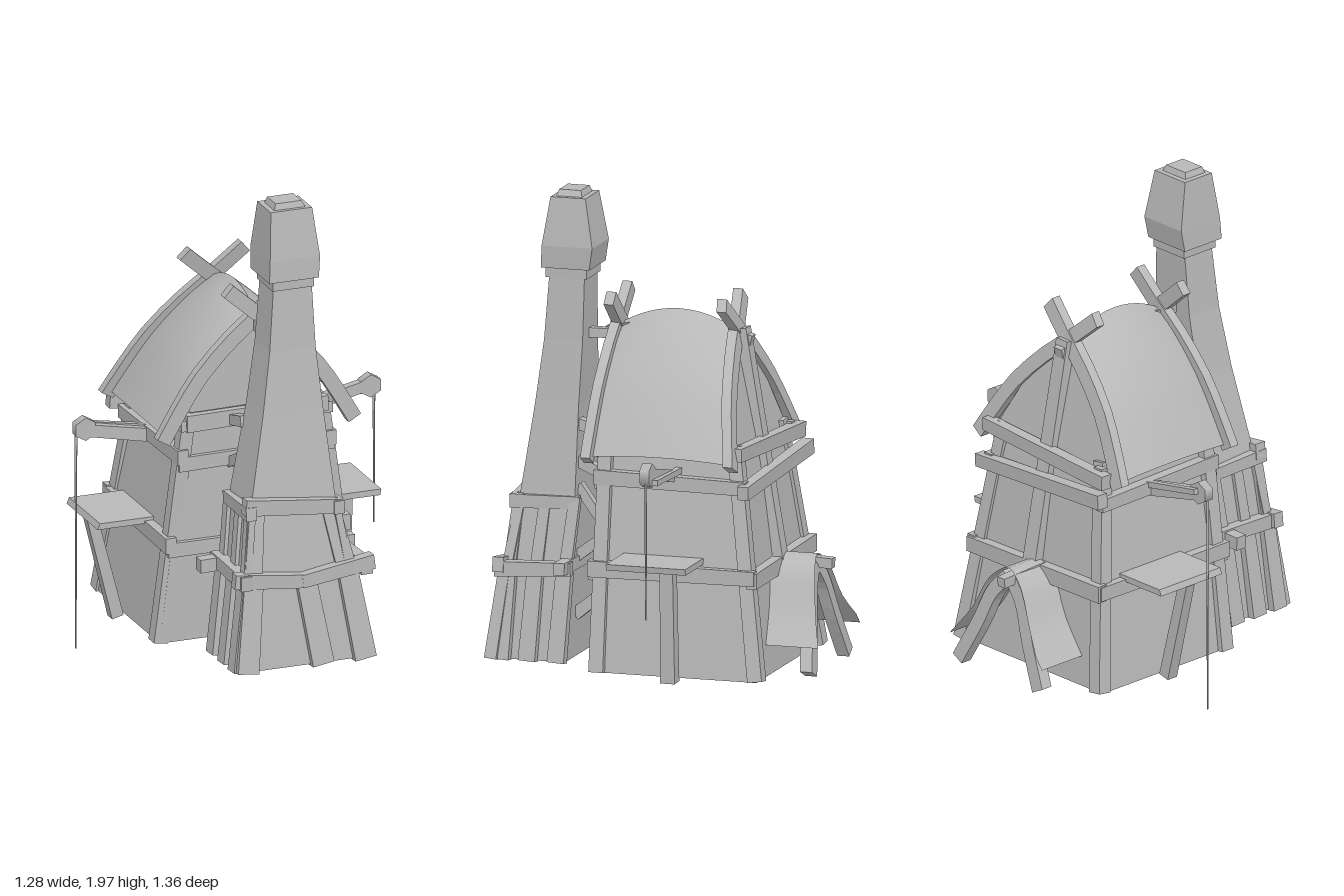
import * as THREE from 'three';

const wood = new THREE.MeshStandardMaterial({ color: 0xb8b8b8, side: THREE.DoubleSide });
wood.name = 'plain grey';

export function createModel() {
  const model = new THREE.Group();
  model.name = 'cottageWithTower';
  let parent = model;

  const section = (name) => {
    parent = new THREE.Group();
    parent.name = name;
    model.add(parent);
  };
  const add = (name, geometry) => {
    const mesh = new THREE.Mesh(geometry, wood);
    mesh.name = name;
    parent.add(mesh);
    return mesh;
  };

  // Squared timber from a to b, slightly thinner at the far end; uprights stay square to the walls
  const beam = (name, a, b, w = 0.05, h = w, taper = 0.9) => {
    const from = new THREE.Vector3(...a), to = new THREE.Vector3(...b);
    const length = from.distanceTo(to);
    const g = new THREE.BoxGeometry(w, h, length);
    const p = g.attributes.position;
    for (let i = 0; i < p.count; i++) {
      if (p.getZ(i) > 0) p.setXY(i, p.getX(i) * taper, p.getY(i) * taper);
    }
    g.computeVertexNormals();
    const mesh = add(name, g);
    mesh.position.copy(from).add(to).multiplyScalar(0.5);
    if (Math.abs(to.y - from.y) > 0.85 * length) mesh.up.set(0, 0, 1);
    mesh.lookAt(to);
  };

  // Four-sided walls through sections [y, x0, x1, z0, z1], bottom to top
  const walls = (name, rows, capped = false) => {
    const ring = ([y, x0, x1, z0, z1]) => [[x0, y, z1], [x1, y, z1], [x1, y, z0], [x0, y, z0]];
    const v = [];
    const quad = (a, b, c, d) => v.push(...a, ...b, ...c, ...a, ...c, ...d);
    for (let r = 0; r < rows.length - 1; r++) {
      const lo = ring(rows[r]), hi = ring(rows[r + 1]);
      for (let i = 0; i < 4; i++) quad(lo[i], lo[(i + 1) % 4], hi[(i + 1) % 4], hi[i]);
    }
    if (capped) {
      quad(...ring(rows[rows.length - 1]));
      quad(...ring(rows[0]).reverse());
    }
    const g = new THREE.BufferGeometry();
    g.setAttribute('position', new THREE.Float32BufferAttribute(v, 3));
    g.computeVertexNormals();
    add(name, g);
  };

  // Curved board in the xy plane, extruded in z and leaning by shear(y)
  const board = (name, pts, width, depth, shear) => {
    const curve = new THREE.CatmullRomCurve3(pts.map(([x, y]) => new THREE.Vector3(x, y, 0)));
    const a = [], b = [];
    for (let i = 0; i <= 10; i++) {
      const p = curve.getPoint(i / 10), t = curve.getTangent(i / 10);
      a.push(new THREE.Vector2(p.x - t.y * width / 2, p.y + t.x * width / 2));
      b.unshift(new THREE.Vector2(p.x + t.y * width / 2, p.y - t.x * width / 2));
    }
    const g = new THREE.ExtrudeGeometry(new THREE.Shape([...a, ...b]), { depth, bevelEnabled: false });
    const p = g.attributes.position;
    for (let i = 0; i < p.count; i++) p.setZ(i, p.getZ(i) + shear(p.getY(i)));
    g.computeVertexNormals();
    add(name, g);
  };

  // Smooth sheet from a function of u and v
  const sheet = (name, f, n = 12) => {
    const g = new THREE.PlaneGeometry(1, 1, n, n);
    const p = g.attributes.position;
    for (let i = 0; i < p.count; i++) p.setXYZ(i, ...f(p.getX(i) + 0.5, p.getY(i) + 0.5));
    g.computeVertexNormals();
    add(name, g);
  };

  // House walls, tapering upward
  section('house');
  walls('houseWalls', [
    [0.13, -0.41, 0.41, -0.48, 0.21], [0.53, -0.36, 0.36, -0.435, 0.21],
    [0.9, -0.3, 0.3, -0.385, 0.2], [1.08, -0.275, 0.275, -0.35, 0.2],
  ]);
  const gable = new THREE.ShapeGeometry(new THREE.Shape(
    [[-0.31, 1.05], [0.31, 1.05], [0.22, 1.22], [0.1, 1.35], [0, 1.43], [-0.1, 1.35], [-0.22, 1.22]]
      .map(([x, y]) => new THREE.Vector2(x, y))));
  add('frontGable', gable).position.z = 0.19;
  const rearGable = gable.clone();
  const rp = rearGable.attributes.position;
  for (let i = 0; i < rp.count; i++) rp.setZ(i, -0.35 + (rp.getY(i) - 1.08) * 0.22);
  rearGable.computeVertexNormals();
  add('rearGable', rearGable);

  // Corner posts and horizontal rails
  for (const s of [-1, 1]) {
    beam('frontCornerPost', [s * 0.405, 0.13, 0.18], [s * 0.285, 1.05, 0.18], 0.06);
    beam('rearCornerPost', [s * 0.39, 0.13, -0.475], [s * 0.275, 1.05, -0.35], 0.06);
    beam('lowerSideRail', [s * 0.37, 0.54, 0.23], [s * 0.365, 0.54, -0.46], 0.045, 0.065);
    beam('upperSideRail', [s * 0.315, 0.9, 0.22], [s * 0.32, 0.89, -0.41], 0.045, 0.06);
    beam('eavesRail', [s * 0.3, 1.03, 0.22], [s * 0.3, 1.02, -0.4], 0.045, 0.045);
  }
  beam('lowerRearRail', [-0.38, 0.54, -0.45], [0.38, 0.53, -0.45], 0.045, 0.07);
  beam('upperRearRail', [-0.37, 0.93, -0.44], [0.37, 0.88, -0.41], 0.05, 0.06);
  beam('rearTieBeam', [-0.36, 1.0, -0.41], [0.36, 1.03, -0.38], 0.05, 0.06);
  beam('lowerFrontRail', [-0.38, 0.52, 0.215], [0.38, 0.52, 0.215], 0.03, 0.06);
  beam('upperFrontRail', [-0.33, 0.87, 0.205], [0.33, 0.88, 0.205], 0.03, 0.06);
  beam('frontTieBeam', [-0.3, 1.04, 0.21], [0.3, 1.05, 0.21], 0.04, 0.07);
  beam('rearCentrePost', [0.02, 0.55, -0.45], [0, 1.47, -0.29], 0.07, 0.05);
  beam('rearRidgeBlock', [0, 1.44, -0.25], [0, 1.42, -0.33], 0.05);
  beam('frontRidgeBlock', [0, 1.44, 0.17], [0, 1.42, 0.27], 0.05);

  // Bowed roof with crossed boards at both ends
  section('roof');
  const rearLean = (y) => -0.26 - (1.6 - y) * 0.22;
  const rake = new THREE.CatmullRomCurve3([[0, 1.45], [0.1, 1.375], [0.23, 1.235], [0.32, 1.1], [0.385, 0.99]]
    .map(([x, y]) => new THREE.Vector3(x, y, 0)));
  for (const s of [-1, 1]) {
    sheet('roofSlope', (u, v) => {
      const p = rake.getPoint(u), z0 = rearLean(p.y) + 0.01;
      const bow = 4 * v * (1 - v), along = s > 0 ? v : 1 - v;
      return [s * (p.x + 0.02 * bow * u), p.y + 0.08 * bow * (1 - u * 0.75), z0 + (0.23 - z0) * along];
    });
    const pts = [[-0.13, 1.58], [0, 1.465], [0.11, 1.375], [0.245, 1.235], [0.335, 1.1], [0.405, 0.98]]
      .map(([x, y]) => [x * s, y]);
    const offset = s > 0 ? 0.006 : 0;
    board('frontBargeboard', pts, 0.06, 0.04, () => 0.2 + offset);
    board('rearBargeboard', pts, 0.06, 0.04, (y) => rearLean(y) + offset);
  }

  // Side shelves with struts, and poles carrying hanging ropes
  section('sideFittings');
  walls('rightShelf', [[0.56, -0.59, -0.35, -0.33, 0.0], [0.585, -0.58, -0.35, -0.33, 0.0]], true);
  walls('leftShelf', [[0.58, 0.35, 0.575, -0.24, 0.09], [0.605, 0.35, 0.58, -0.24, 0.09]], true);
  beam('rightStrut', [-0.45, 0.13, -0.16], [-0.56, 0.57, -0.16], 0.05);
  beam('leftStrut', [0.5, 0.13, -0.15], [0.52, 0.59, -0.15], 0.06);
  beam('rightPole', [-0.25, 0.87, -0.13], [-0.63, 0.95, -0.12], 0.04, 0.055);
  beam('leftPole', [0.22, 0.9, -0.1], [0.62, 0.99, -0.09], 0.04, 0.05);
  beam('rightPoleBrace', [-0.27, 0.9, -0.15], [-0.6, 0.96, -0.15], 0.025);
  beam('leftPoleBrace', [0.27, 0.94, -0.12], [0.6, 0.95, -0.12], 0.025);
  for (const [x, y, z, end, ropeX] of [[-0.6, 0.95, -0.12, 0.03, -0.635], [0.6, 0.98, -0.09, 0.4, 0.62]]) {
    const knob = add('poleEnd', new THREE.CylinderGeometry(0.048, 0.048, 0.04, 6));
    knob.rotation.x = Math.PI / 2;
    knob.position.set(x, y, z);
    const rope = add('rope', new THREE.CylinderGeometry(0.006, 0.003, y - end, 5));
    rope.position.set(ropeX, (y + end) / 2, z);
  }

  // Arched porch at the back
  section('porch');
  const arch = [[-0.28, 0.25], [-0.17, 0.38], [-0.09, 0.52], [0, 0.58], [0.09, 0.52], [0.16, 0.38], [0.25, 0.25]];
  const archCurve = new THREE.CatmullRomCurve3(arch.map(([x, y]) => new THREE.Vector3(x, y, 0)));
  sheet('porchRoof', (u, v) => {
    const p = archCurve.getPoint(u);
    return [p.x, p.y, -0.44 - (1 - v) * (0.16 + 0.085 * Math.min(1, Math.abs(p.x) / 0.25) ** 1.5)];
  }, 18);
  for (const s of [-1, 1]) {
    board('porchArchBoard', [[0.01, 0.54], [0.08, 0.46], [0.14, 0.32], [0.23, 0.14]].map(([x, y]) => [x * s, y]),
      0.06, 0.05, (y) => -0.6 - (0.56 - y) * 0.15);
  }
  beam('porchRidge', [-0.02, 0.55, -0.44], [-0.02, 0.54, -0.66], 0.045);

  // Tall tapering tower with a blunt cap
  section('tower');
  walls('towerShaft', [
    [0.13, -0.24, 0.27, 0.36, 0.65], [0.5, -0.2, 0.23, 0.35, 0.61], [0.8, -0.165, 0.19, 0.345, 0.57],
    [1.15, -0.095, 0.16, 0.34, 0.52], [1.4, -0.055, 0.14, 0.33, 0.49], [1.68, -0.03, 0.13, 0.325, 0.47],
  ]);
  walls('towerCollar', [[1.65, -0.04, 0.135, 0.315, 0.485], [1.69, -0.04, 0.135, 0.315, 0.485]], true);
  walls('towerCap', [[1.69, -0.06, 0.15, 0.3, 0.5], [1.78, -0.055, 0.157, 0.285, 0.495], [1.975, -0.04, 0.135, 0.32, 0.465]], true);
  walls('towerCapTop', [[1.97, -0.02, 0.115, 0.34, 0.45], [2.0, -0.01, 0.1, 0.35, 0.44]], true);

  // Two timber bands around the tower
  beam('upperFrontBand', [-0.2, 0.8, 0.58], [0.21, 0.755, 0.58], 0.05, 0.065);
  beam('upperRightBand', [-0.18, 0.775, 0.61], [-0.17, 0.76, 0.33], 0.045, 0.055);
  beam('upperLeftBand', [0.195, 0.755, 0.61], [0.18, 0.76, 0.33], 0.045, 0.055);
  beam('lowerFrontBandA', [-0.26, 0.51, 0.62], [0.04, 0.48, 0.635], 0.045, 0.06);
  beam('lowerFrontBandB', [0.33, 0.52, 0.62], [0.02, 0.48, 0.635], 0.045, 0.06);
  beam('lowerRightBand', [-0.215, 0.5, 0.65], [-0.22, 0.51, 0.33], 0.05, 0.06);
  beam('lowerLeftBand', [0.3, 0.5, 0.64], [0.28, 0.51, 0.33], 0.05, 0.06);
  beam('lowerRearBand', [-0.31, 0.5, 0.37], [0.35, 0.52, 0.36], 0.05, 0.055);

  // Leaning planks at the tower foot
  for (const [x0, x1] of [[-0.22, -0.18], [0.1, 0.04], [0.28, 0.22]]) {
    beam('frontFootPlank', [x0, 0.13, 0.655], [x1, 0.5, 0.615], 0.09, 0.05);
  }
  beam('upperFootPlank', [-0.18, 0.5, 0.605], [-0.15, 0.78, 0.565], 0.08, 0.04);
  beam('upperFootPlank', [0.22, 0.5, 0.605], [0.16, 0.78, 0.565], 0.08, 0.04);
  for (const z of [0.39, 0.51, 0.62]) {
    beam('rightFootPlank', [-0.25, 0.13, z], [-0.205, 0.5, z - 0.02], 0.045, 0.07);
    beam('leftFootPlank', [0.285, 0.13, z], [0.24, 0.5, z - 0.02], 0.045, 0.07);
    beam('rightUpperPlank', [-0.2, 0.5, z - 0.02], [-0.17, 0.78, z - 0.045], 0.03, 0.05);
    beam('leftUpperPlank', [0.23, 0.5, z - 0.02], [0.185, 0.78, z - 0.045], 0.03, 0.05);
  }

  // Struts tying the tower to the house
  section('tieStruts');
  beam('ridgeStrut', [0.04, 1.42, 0.34], [0.02, 1.42, 0.2], 0.04);
  for (const x of [-0.1, 0.13]) {
    beam('eavesStrut', [x, 1.07, 0.35], [x, 1.03, 0.2], 0.045);
    beam('middleStrut', [x, 0.92, 0.35], [x, 0.85, 0.2], 0.045);
    beam('fallingBrace', [x, 0.82, 0.35], [x, 0.64, 0.22], 0.04);
    beam('risingBrace', [x, 0.53, 0.36], [x, 0.65, 0.2], 0.045);
    beam('lowBrace', [x, 0.3, 0.36], [x, 0.43, 0.2], 0.05);
  }
  return model;
}
